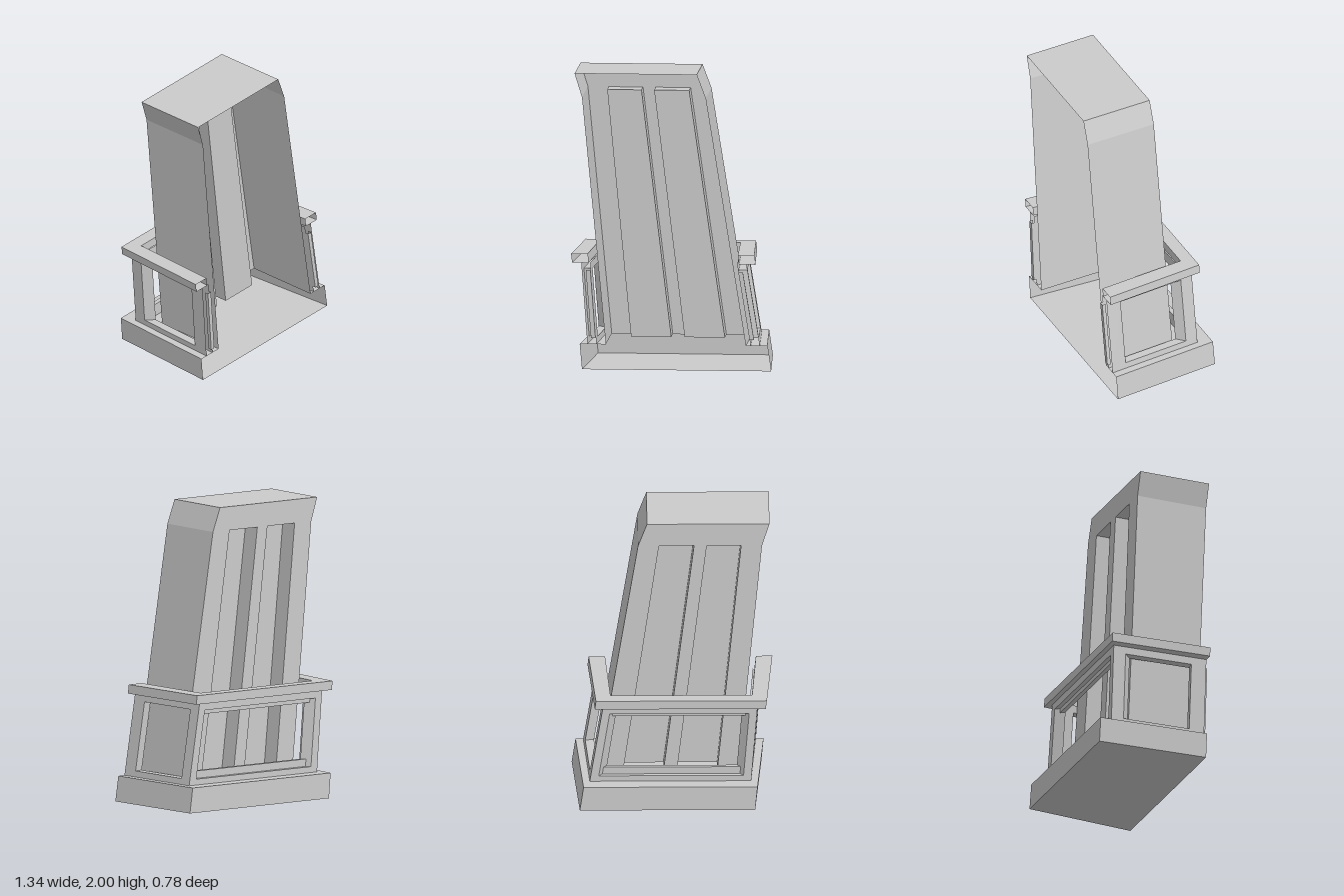
import * as THREE from 'three';

const material = new THREE.MeshStandardMaterial({ color: 0xcccccc, flatShading: true, side: THREE.DoubleSide });
const FRONT = 0.365;

// Skin a row of equal-length cross-sections ([x, y, z] points); closed joins each section's ends.
function loft(name, sections, closed = false) {
  const pos = [];
  for (let s = 0; s < sections.length - 1; s++) {
    const a = sections[s], b = sections[s + 1], n = a.length;
    for (let i = 0; i < (closed ? n : n - 1); i++) {
      const j = (i + 1) % n;
      pos.push(...a[i], ...a[j], ...b[j], ...a[i], ...b[j], ...b[i]);
    }
  }
  const geometry = new THREE.BufferGeometry();
  geometry.setAttribute('position', new THREE.Float32BufferAttribute(pos, 3));
  geometry.computeVertexNormals();
  const mesh = new THREE.Mesh(geometry, material);
  mesh.name = name;
  return mesh;
}

// Point on the leaning, back-tapered layout; s is -1 or +1 for the side.
const place = (s, half, y, z) =>
  [0.035 - 0.12 * y + s * half * (1 - 0.1 * (FRONT - z)), y, z];

// Three-sided plan: front, back, back, front.
const plan = (half, y, back) => [
  place(-1, half, y, FRONT), place(-1, half, y, back),
  place(1, half, y, back), place(1, half, y, FRONT)];

const mix = (a, b, t) => a.map((v, i) => v + (b[i] - v) * t);

// Four corners of a rectangle inside wall w of the balustrade, inset is its depth.
function wallLoop(w, inset, u0, u1, y0, y1) {
  const at = (u, y) => {
    const half = 0.586 - 0.045 * y - inset;
    const p = plan(half, y, -0.295 + inset);
    return mix(p[w], p[w + 1], u);
  };
  return [at(u0, y0), at(u1, y0), at(u1, y1), at(u0, y1)];
}

export function createModel() {
  const group = new THREE.Group();

  // Tower shell: open at the front, two channels pressed into its back
  const towerBack = -0.135, channelFloor = -0.005;
  const section = (y, left, right, channels, floor) => {
    const points = [[left, y, FRONT], [left, y, towerBack]];
    for (let i = 0; i < 4; i += 2) {
      const [a, b] = [channels[i], channels[i + 1]];
      points.push([a, y, towerBack], [a, y, floor], [b, y, floor], [b, y, towerBack]);
    }
    points.push([right, y, towerBack], [right, y, FRONT]);
    return points;
  };
  const upper = [-0.46, -0.23, -0.145, 0.09];
  group.add(loft('tower', [
    section(0.17, -0.44, 0.50, [-0.30, -0.03, 0.06, 0.33], channelFloor),
    section(1.84, -0.60, 0.23, upper, channelFloor),
    section(1.84, -0.60, 0.23, upper, towerBack),
    section(2, -0.65, 0.17, upper, towerBack)]));
  group.add(loft('towerRoof', [
    [[-0.65, 2, FRONT], [0.17, 2, FRONT]],
    [[-0.65, 2, towerBack], [0.17, 2, towerBack]]]));

  // Plinth: floor, outer walls and the ledge up to the tower
  const footing = plan(0.635, 0, -0.392);
  group.add(loft('plinthFloor', [[footing[0], footing[3]], [footing[1], footing[2]]]));
  group.add(loft('plinth', [footing, plan(0.63, 0.17, -0.39), [
    [-0.44, 0.17, FRONT], [-0.44, 0.17, towerBack],
    [0.50, 0.17, towerBack], [0.50, 0.17, FRONT]]]));

  // Hollow handrail around three sides
  const railOuter = (y) => plan(0.615, y, -0.33);
  const railInner = (y) => plan(0.505, y, -0.24);
  group.add(loft('handrail', [
    railOuter(0.72), railOuter(0.78), railInner(0.78), railInner(0.72), railOuter(0.72)]));

  // Balustrade walls: framed openings, the back one stepped
  const names = ['rightBalustrade', 'backBalustrade', 'leftBalustrade'];
  const spans = [[0.16, 0.87], [0.05, 0.95], [0.13, 0.84]];
  names.forEach((name, w) => {
    const [u0, u1] = spans[w];
    const loops = [wallLoop(w, 0, 0, 1, 0.17, 0.72), wallLoop(w, 0, u0, u1, 0.21, 0.67)];
    if (w === 1) {
      loops.push(
        wallLoop(w, 0.03, u0, u1, 0.21, 0.67), wallLoop(w, 0.03, u0, u1, 0.26, 0.64),
        wallLoop(w, 0.06, u0, u1, 0.26, 0.64));
    } else loops.push(wallLoop(w, 0.06, u0, u1, 0.21, 0.67));
    loops.push(wallLoop(w, 0.06, 0, 1, 0.17, 0.72));
    group.add(loft(name, loops, true));
  });

  // Slim posts projecting at the front ends of the balustrade
  for (const s of [-1, 1]) {
    const post = (y) => {
      const half = 0.586 - 0.045 * y - 0.06;
      return [place(s, half, y, 0.3), place(s, half, y, 0.385),
        place(s, half + 0.03, y, 0.385), place(s, half + 0.03, y, 0.36)];
    };
    group.add(loft(s < 0 ? 'rightFrontPost' : 'leftFrontPost', [post(0.215), post(0.67)]));
  }
  return group;
}
